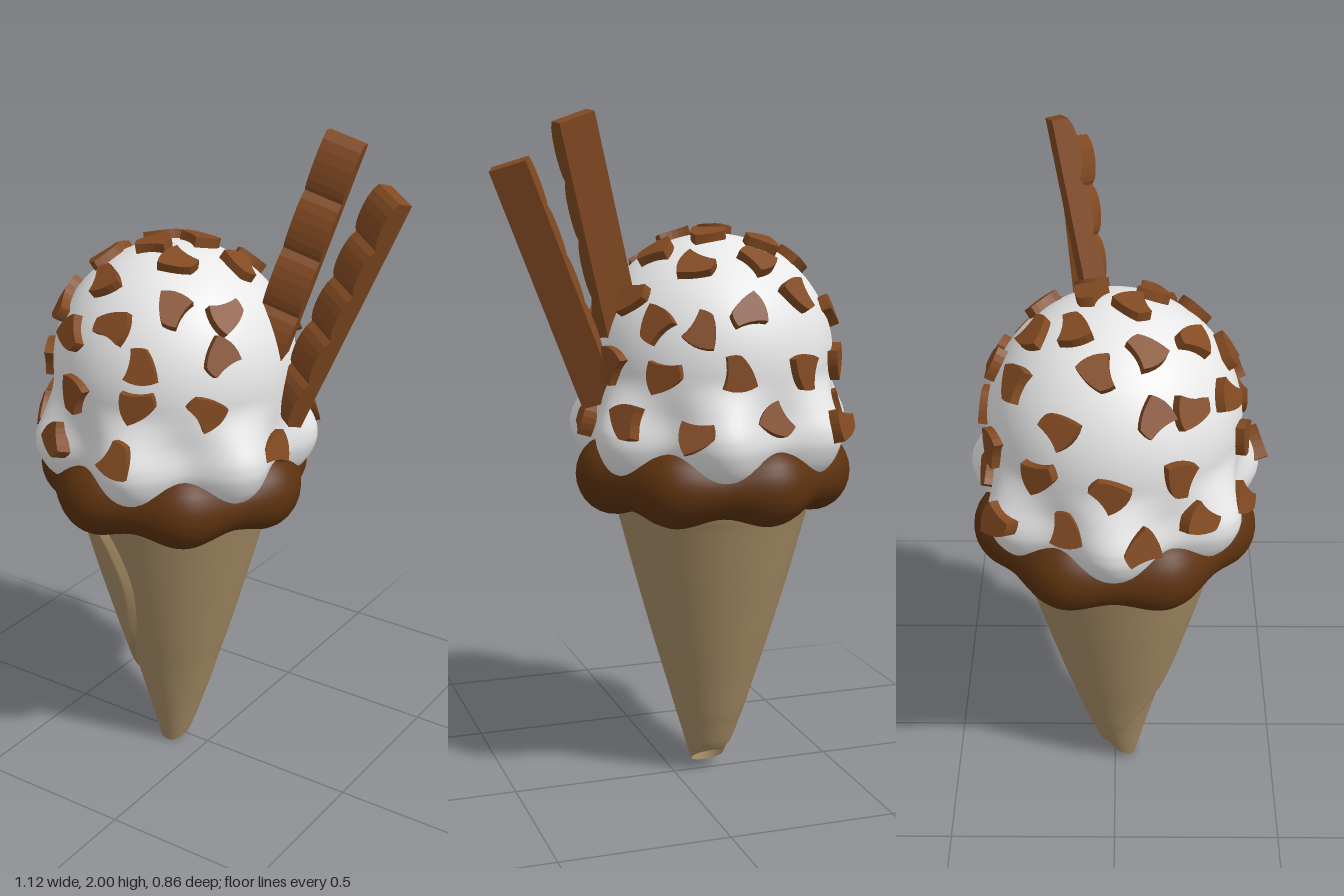
import * as THREE from 'three';
import { ParametricGeometry } from 'three/addons/geometries/ParametricGeometry.js';

const CX = -0.115;            // axis of cone and scoop
const BALL_Y = 1.29, BALL_R = 0.357;
const rad = THREE.MathUtils.degToRad;

function material(name, color, side = THREE.FrontSide) {
  const m = new THREE.MeshStandardMaterial({ color, side });
  m.name = name;
  return m;
}

function mesh(name, geometry, mat) {
  const m = new THREE.Mesh(geometry, mat);
  m.name = name;
  return m;
}

// Seven lobes round the foot of the scoop
const lobes = (a) => Math.cos(7 * (a + Math.PI / 2));

// Rolled wafer: curve points hold radius, height and angle of the overlapping edge
function coneGeometry() {
  const curve = new THREE.CatmullRomCurve3([
    [0.046, 0, -2.6], [0.062, 0.06, -2.2], [0.083, 0.14, -1.6], [0.1, 0.2, -1.25], [0.128, 0.3, -0.7],
    [0.172, 0.45, -0.15], [0.218, 0.62, 0], [0.265, 0.8, -0.17], [0.28, 0.86, -0.55], [0.305, 0.97, -0.9],
  ].map((p) => new THREE.Vector3(...p)));
  const p = new THREE.Vector3();
  return new ParametricGeometry((u, v, out) => {
    curve.getPoint(v, p);
    const a = p.z - (1 - u) * (Math.PI * 2 + 1.2);
    const edge = Math.min(1, (1 - u) / 0.012);
    const r = p.x + 0.022 * u * edge * Math.min(1, 0.35 + p.y);
    const slant = 0.035 * (1 - Math.cos(a)) * Math.pow(1 - v, 5);
    out.set(CX + r * Math.sin(a), p.y + slant, 0.014 * (1 - v) + r * Math.cos(a));
  }, 170, 50);
}

// Scoop: ball above, lobed skirt below
const skirt = new THREE.SplineCurve([
  [0.28, 0.94], [0.35, 0.99], [0.385, 1.05], [0.39, 1.1], [0.372, 1.17], [0.358, 1.24], [0.357, 1.29],
].map((p) => new THREE.Vector2(...p)));

function scoopPoint(a, v, out) {
  let r, y;
  if (v < 0.5) {
    const p = skirt.getPoint(v * 2);
    const w = Math.max(0, Math.min(1, (1.27 - p.y) / 0.17));
    r = p.x + 0.034 * w * w * (3 - 2 * w) * lobes(a);
    y = p.y;
  } else {
    const t = (v - 0.5) * Math.PI * 0.999;
    r = BALL_R * Math.cos(t);
    y = BALL_Y + BALL_R * Math.sin(t);
  }
  return out.set(CX + r * Math.sin(a), y, r * Math.cos(a));
}

// Chocolate collar with lobes set between those of the scoop
function collarGeometry() {
  return new ParametricGeometry((u, v, out) => {
    const a = u * Math.PI * 2, t = v * Math.PI * 2, k = -lobes(a);
    const r = 0.292 + 0.008 * k + (0.105 + 0.008 * k) * Math.cos(t);
    out.set(CX + r * Math.sin(a), 0.953 + (0.105 + 0.014 * k) * Math.sin(t), r * Math.cos(a));
  }, 140, 28);
}

// Wedge-shaped chocolate chip
function chipGeometry() {
  const s = new THREE.Shape();
  s.moveTo(-0.05, -0.024);
  s.quadraticCurveTo(0, -0.026, 0.034, -0.052);
  s.quadraticCurveTo(0.064, -0.005, 0.046, 0.042);
  s.quadraticCurveTo(-0.01, 0.04, -0.045, 0.016);
  s.quadraticCurveTo(-0.053, -0.004, -0.05, -0.024);
  return new THREE.ExtrudeGeometry(s, { depth: 0.042, bevelEnabled: false, curveSegments: 5 });
}

// Chocolate finger: scalloped side profile extruded across its width
function stickGeometry(length, width, count) {
  const s = new THREE.Shape();
  const step = length / count;
  s.moveTo(-0.028, 0);
  s.lineTo(0.016, 0);
  for (let i = 0; i < count; i++) {
    const y = i * step;
    s.bezierCurveTo(0.036, y + step * 0.1, 0.046, y + step * 0.75, 0.016, y + step);
  }
  s.lineTo(-0.028, length);
  s.closePath();
  const g = new THREE.ExtrudeGeometry(s, { depth: width, bevelEnabled: false, curveSegments: 7 });
  g.translate(0, 0, -width / 2);
  return g.rotateY(-Math.PI / 2); // scallops now face +z
}

function makeStick(name, bottom, top, across, width, count, mat) {
  const b = new THREE.Vector3(...bottom);
  const y = new THREE.Vector3(...top).sub(b);
  const m = mesh(name, stickGeometry(y.length(), width, count), mat);
  y.normalize();
  const x = new THREE.Vector3(...across);
  x.addScaledVector(y, -x.dot(y)).normalize();
  const z = new THREE.Vector3().crossVectors(x, y);
  m.quaternion.setFromRotationMatrix(new THREE.Matrix4().makeBasis(x, y, z));
  m.position.copy(b);
  return m;
}

export function createModel() {
  const group = new THREE.Group();
  group.name = 'iceCreamCone';
  const wafer = material('wafer', 0xa58b64, THREE.DoubleSide);
  const cream = material('cream', 0xececec);
  const sauce = material('darkChocolate', 0x5c320f);
  const chocolate = material('milkChocolate', 0x824a22);

  group.add(mesh('waferCone', coneGeometry(), wafer));
  group.add(mesh('chocolateCollar', collarGeometry(), sauce));
  group.add(mesh('scoop', new ParametricGeometry(
    (u, v, out) => scoopPoint(u * Math.PI * 2, v, out), 126, 64), cream));

  // Chips on the upper ball, as x and z
  const chips = new THREE.Group();
  chips.name = 'chips';
  const chip = chipGeometry();
  const addChip = (pos, normal, spin) => {
    const m = mesh('chip', chip, chocolate);
    m.quaternion.setFromUnitVectors(new THREE.Vector3(0, 0, 1), normal);
    m.rotateZ(spin);
    m.position.copy(pos).addScaledVector(normal, -0.018);
    chips.add(m);
  };
  [
    [-0.27, -0.26], [-0.17, -0.205], [0, -0.2], [-0.35, -0.04], [-0.22, -0.1], [-0.08, -0.07],
    [0.07, -0.05], [-0.29, 0.08], [-0.15, 0.05], [-0.03, 0.1], [-0.2, 0.2], [0.03, 0.22],
    [0.14, 0.12], [-0.11, 0.3], [-0.25, 0.3], [0, 0.32], [0.16, 0.19], [-0.1, -0.32],
    [0.02, -0.31], [0.13, -0.23], [0.16, -0.13], [-0.41, 0.1], [-0.36, 0.2], [-0.41, -0.14],
  ].forEach(([x, z], i) => {
    const dx = x - CX;
    const n = new THREE.Vector3(dx, Math.sqrt(Math.max(0, BALL_R ** 2 - dx * dx - z * z)), z).normalize();
    addChip(n.clone().multiplyScalar(BALL_R).add(new THREE.Vector3(CX, BALL_Y, 0)), n, i * 2.4 + 0.3);
  });

  // Chips lower down: position along the surface, outward tilt, angles in degrees
  [
    [0.5, 0.05, [-16, 19, 48, 110, 140, 172, 205, 238, 268, -62]],
    [0.3, 0.3, [-26, 12, 82, 124, 155, 190, 222, 250, 280, -52]],
  ].forEach(([v, ny, angles], row) => angles.forEach((deg, i) => {
    const a = rad(deg);
    const n = new THREE.Vector3(Math.sin(a), ny, Math.cos(a)).normalize();
    addChip(scoopPoint(a, v - 0.03 + 0.03 * (i % 2), new THREE.Vector3()), n, i * 2.1 + row + 1.4);
  }));
  group.add(chips);

  // Two chocolate fingers
  group.add(makeStick('backStick', [0.165, 1.33, -0.03], [0.345, 1.98, -0.16], [1, 0, -0.27], 0.112, 4, chocolate));
  group.add(makeStick('sideStick', [0.235, 1.18, -0.045], [0.512, 1.855, -0.125], [1, 0, 0.45], 0.108, 5, chocolate));
  return group;
}
